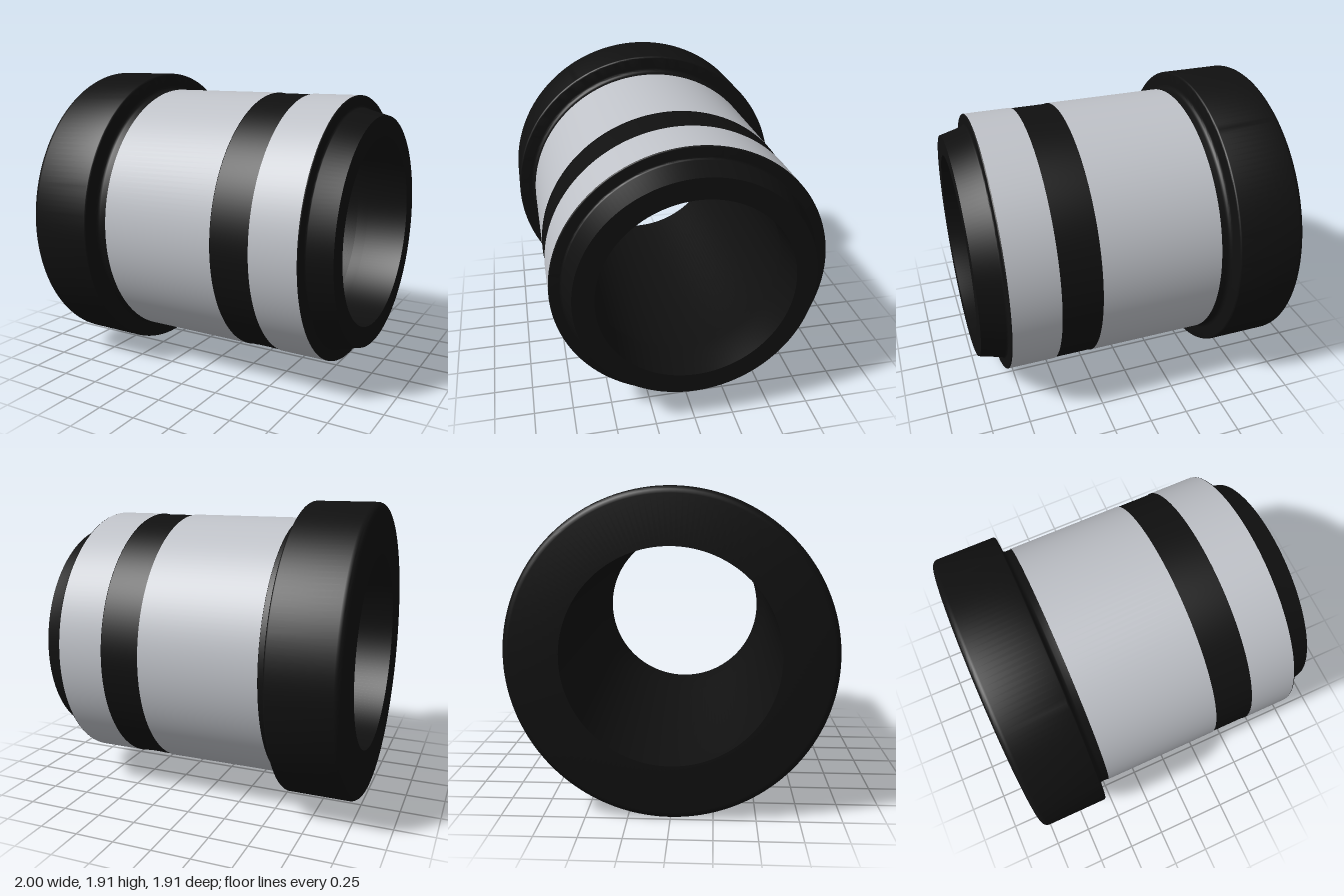
import * as THREE from 'three';
import { toCreasedNormals } from 'three/addons/utils/BufferGeometryUtils.js';

const SEGMENTS = 160;
const AXIS_Y = 0.957;
const black = new THREE.MeshStandardMaterial({ color: 0x101010 });
const grey = new THREE.MeshStandardMaterial({ color: 0xbfc2c8 });

// Turn a profile of [x, radius] pairs around the x axis
function turned(profile) {
  const points = profile.map(([x, r]) => new THREE.Vector2(r, x));
  return new THREE.LatheGeometry(points, SEGMENTS).rotateZ(-Math.PI / 2).translate(0, AXIS_Y, 0);
}

// Rounded corner of [x, radius] pairs between two angles in degrees
function arc(x, r, size, from, to, steps = 6) {
  return Array.from({ length: steps + 1 }, (_, i) => {
    const a = THREE.MathUtils.degToRad(from + ((to - from) * i) / steps);
    return [x + size * Math.cos(a), r + size * Math.sin(a)];
  });
}

export function createModel() {
  const model = new THREE.Group();
  const add = (name, geometry, material) => {
    const mesh = new THREE.Mesh(toCreasedNormals(geometry, 0.5), material);
    mesh.name = name;
    model.add(mesh);
  };

  // Flange with rounded rim, running into the neck through a fillet
  add('flange', turned([
    [-1, 0.632],
    ...arc(-0.96, 0.917, 0.04, 180, 90),
    ...arc(-0.575, 0.942, 0.015, 90, 0),
    ...arc(-0.53, 0.873, 0.03, 180, 270),
    [-0.493, 0.843], [-0.493, 0.847],
  ]), black);

  // Grey sleeves on either side of the black band
  add('mainSleeve', turned([[-0.493, 0.847], [0.277, 0.847]]), grey);
  add('endSleeve', turned([[0.531, 0.847], [0.834, 0.847]]), grey);

  // Black band, with a round channel cut straight across its underside
  const middle = 0.404, half = 0.127, steps = 48;
  const bandProfile = Array.from({ length: steps + 1 }, (_, i) =>
    [middle - half * Math.cos((Math.PI * i) / steps), 0.843]);
  const band = turned([[0.277, 0.847], ...bandProfile, [0.531, 0.847]]);
  const position = band.attributes.position;
  for (let i = 0; i < position.count; i++) {
    const d = Math.abs(position.getX(i) - middle);
    const round = d < 0.114 ? 0.107 * Math.sqrt(1 - (d / 0.114) ** 2) : 0;
    const flare = Math.min(0.014, Math.max(0, half - d));
    position.setY(i, Math.max(position.getY(i), 0.11 + Math.max(round, flare)));
  }
  add('channelBand', band, black);

  // Rounded black shoulder and tapered nose
  add('nose', turned([
    ...arc(0.834, 0.839, 0.008, 90, 0, 4),
    ...arc(0.857, 0.783, 0.015, 180, 260, 4),
    [1, 0.73], [1, 0.6],
  ]), black);

  // Bore, stepping out from a narrower lip at the nose
  add('bore', turned([
    [1, 0.6], [0.72, 0.6], [0.63, 0.632], [-1, 0.632],
  ]), black);

  return model;
}
